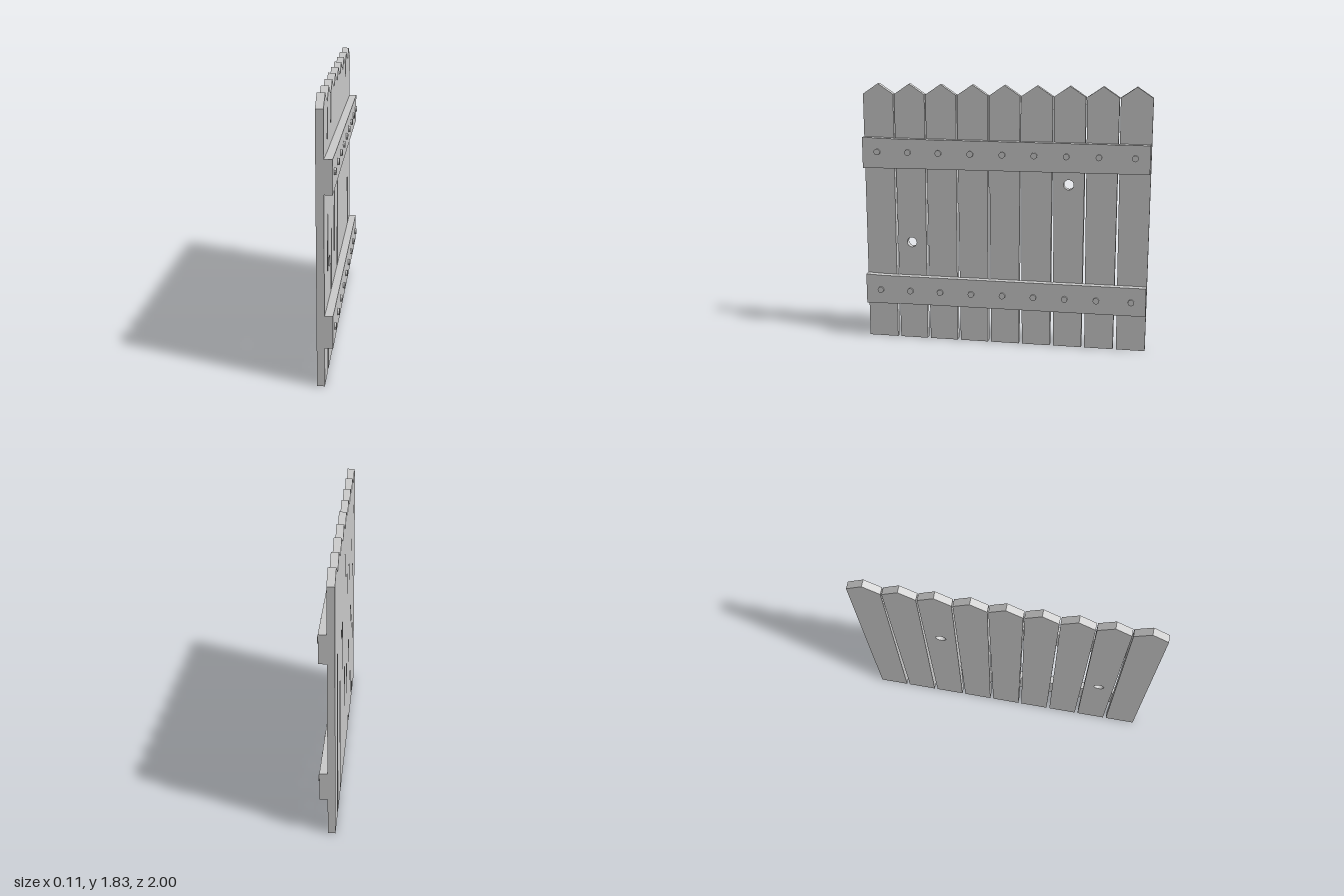
import * as THREE from 'three';

const material = new THREE.MeshStandardMaterial({ color: 0xcccccc, flatShading: true });

// Extrudes an outline drawn along the fence (u = -z, y) from x0 to x1.
function board(name, points, x0, x1, holes = []) {
  const shape = new THREE.Shape(points.map(([u, y]) => new THREE.Vector2(u, y)));
  for (const [u, y, r] of holes) {
    shape.holes.push(new THREE.Path().absarc(u, y, r, 0, Math.PI * 2, true));
  }
  const geometry = new THREE.ExtrudeGeometry(shape, { depth: x1 - x0, bevelEnabled: false, curveSegments: 12 });
  geometry.rotateY(Math.PI / 2).translate(x0, 0, 0);
  const mesh = new THREE.Mesh(geometry, material);
  mesh.name = name;
  return mesh;
}

export function createModel() {
  const group = new THREE.Group();
  group.name = 'fencePanel';

  // Pointed planks, slightly narrower at the foot; two have a knot hole
  const knotHoles = { 1: [[-0.67, 0.712, 0.035]], 6: [[0.445, 1.162, 0.035]] };
  for (let i = 0; i < 9; i++) {
    const c = (i - 4) * 0.223;
    const foot = c + 0.004;
    const left = i === 0 ? -1 : foot - 0.101;
    const right = i === 8 ? 0.995 : foot + 0.099;
    group.add(board('plank', [
      [left, 0], [right, 0],
      [c + 0.108, 1.76], [c, 1.833], [c - 0.108, 1.76],
    ], -0.057, -0.008, knotHoles[i]));
  }

  // Cross rails with slightly uneven edges
  group.add(board('upperRail', [
    [-1, 1.247], [-0.7, 1.25], [0.993, 1.257], [0.993, 1.452], [-0.78, 1.457], [-1, 1.463],
  ], -0.008, 0.044));
  group.add(board('lowerRail', [
    [-1, 0.26], [-0.62, 0.266], [0.993, 0.267], [0.993, 0.467], [-0.88, 0.47], [-1, 0.475],
  ], -0.008, 0.044));

  // Nail heads, one per plank on each rail
  const nailGeometry = new THREE.CylinderGeometry(0.022, 0.022, 0.03, 12).rotateZ(-Math.PI / 2);
  const nailU = [-0.893, -0.673, -0.456, -0.231, -0.008, 0.212, 0.432, 0.652, 0.893];
  for (const y of [0.364, 1.364]) {
    for (const u of nailU) {
      const nail = new THREE.Mesh(nailGeometry, material);
      nail.name = 'nail';
      nail.position.set(0.042, y, -u);
      group.add(nail);
    }
  }
  return group;
}
